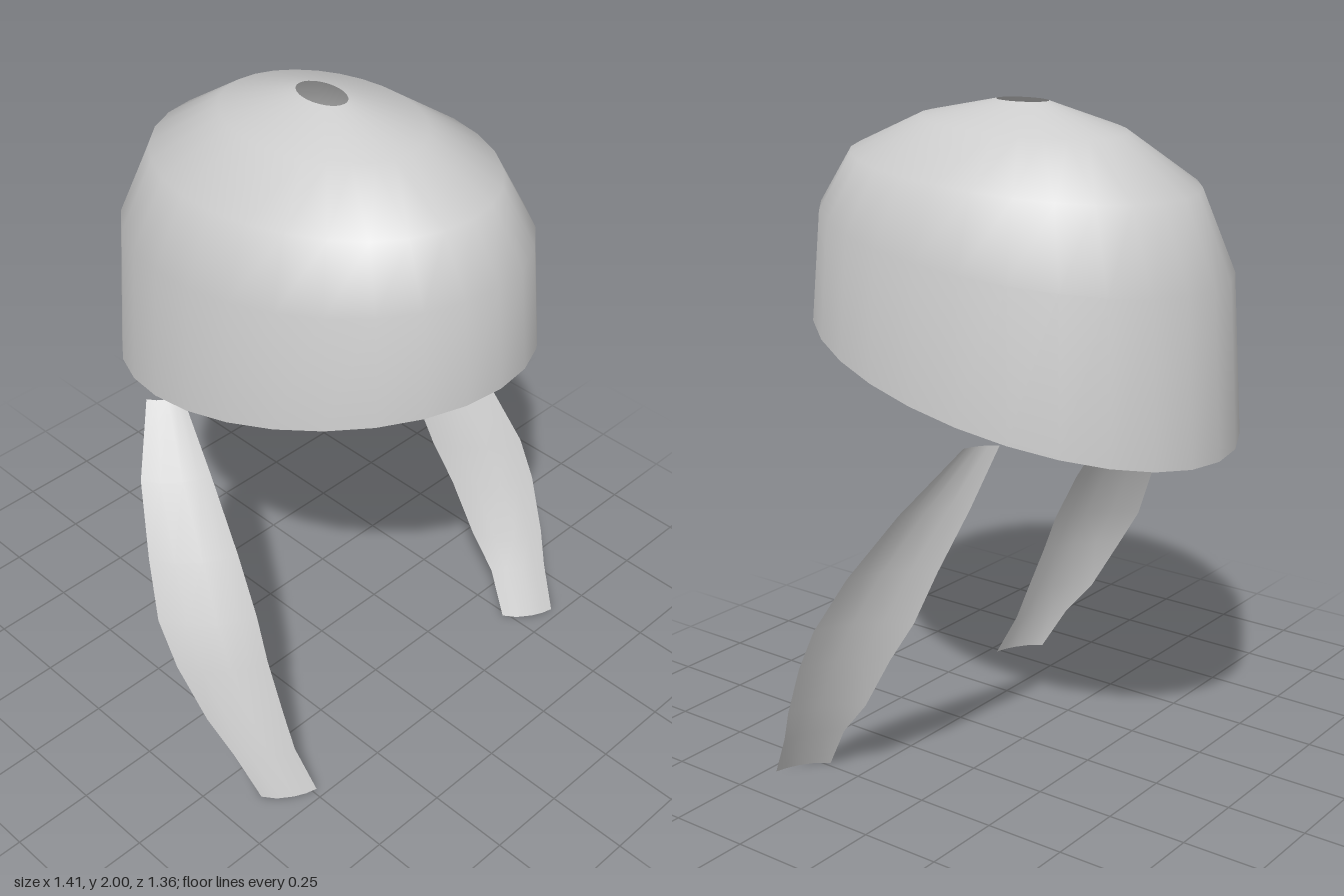
import * as THREE from 'three';
import { mergeVertices } from 'three/addons/utils/BufferGeometryUtils.js';

const SEGMENTS = 28;

// Open surface from equal-length rows of points, with smooth normals
function loft(rows, closed) {
  const n = rows[0].length, index = [];
  for (let j = 0; j < rows.length - 1; j++) {
    for (let i = 0; i < (closed ? n : n - 1); i++) {
      const k = (i + 1) % n;
      const a = j * n + i, b = j * n + k, c = (j + 1) * n + k, d = (j + 1) * n + i;
      index.push(a, b, c, a, c, d);
    }
  }
  const g = new THREE.BufferGeometry();
  g.setAttribute('position', new THREE.Float32BufferAttribute(rows.flat(2), 3));
  g.setIndex(index);
  const merged = mergeVertices(g);
  merged.computeVertexNormals();
  return merged;
}

// Cap: tilted elliptical rings, from the rim up to the hole in the crown
function capGeometry() {
  // half width, half depth, centre height, rise at the front
  const rings = [
    [0.525, 0.68, 1.215, 0.165],
    [0.5, 0.65, 1.61, 0.08],
    [0.41, 0.55, 1.81, 0.04],
    [0.235, 0.33, 1.935, 0.015],
    [0.053, 0.085, 2.0, 0],
  ];
  return loft(rings.map(([rx, rz, y, tilt]) =>
    Array.from({ length: SEGMENTS }, (_, i) => {
      const t = (i / SEGMENTS) * Math.PI * 2;
      return [rx * Math.sin(t), y + tilt * Math.cos(t), rz * Math.cos(t)];
    })), true);
}

// Strap stations: height, inner x, outer x, rear z, front z
const STRAP = [
  [0, 0.485, 0.625, 0.375, 0.47],
  [0.14, 0.507, 0.655, 0.295, 0.4],
  [0.25, 0.507, 0.68, 0.205, 0.355],
  [0.42, 0.5, 0.705, 0.11, 0.28],
  [0.55, 0.485, 0.7, 0.03, 0.222],
  [0.72, 0.465, 0.66, -0.045, 0.125],
  [0.92, 0.435, 0.595, -0.14, -0.015],
  [1.115, 0.405, 0.49, -0.222, -0.162],
];
// Curved cross-section: fraction across, fraction forward
const SECTION = [[0, 0], [0.2, 0.4], [0.5, 0.72], [0.75, 0.9], [1, 1]];

// Widths mirror from side to side, while both straps curl the same way
function strapGeometry(side) {
  return loft(STRAP.map(([y, inner, outer, back, front]) => {
    const x0 = side > 0 ? inner : -outer;
    return SECTION.map(([u, v]) => [x0 + u * (outer - inner), y, back + v * (front - back)]);
  }), false);
}

export function createModel() {
  const grey = new THREE.MeshStandardMaterial({ color: 0xcccccc, side: THREE.DoubleSide });
  grey.name = 'light grey';

  const model = new THREE.Group();
  model.name = 'strappedCap';
  const add = (name, geometry) => {
    const mesh = new THREE.Mesh(geometry, grey);
    mesh.name = name;
    model.add(mesh);
  };

  add('cap', capGeometry());
  add('leftStrap', strapGeometry(1));
  add('rightStrap', strapGeometry(-1));
  return model;
}
